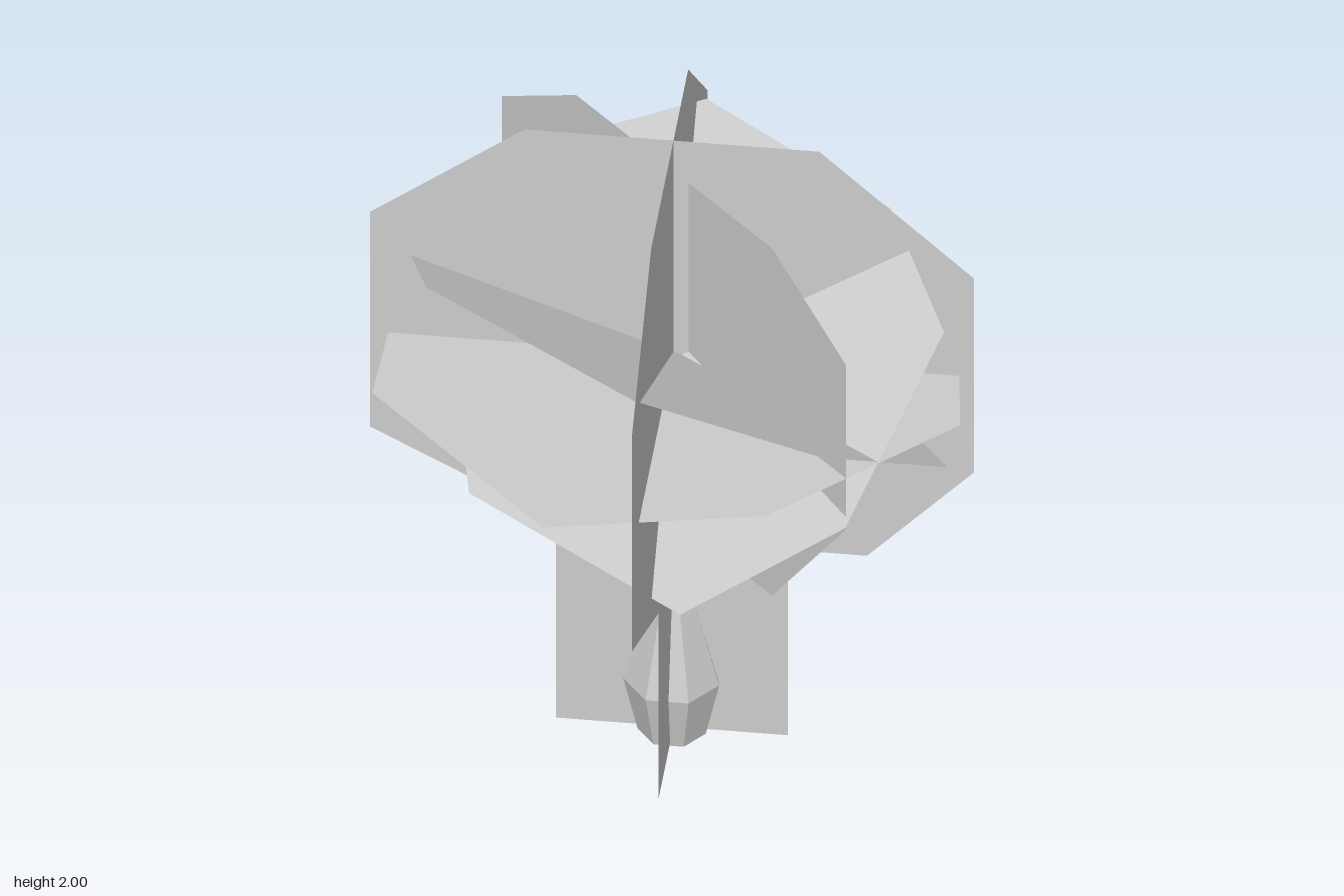
import * as THREE from 'three';

const flat = new THREE.MeshStandardMaterial({ color: 0xcccccc, flatShading: true, side: THREE.DoubleSide });
const AXIS_YAW = Math.atan2(0.57, 0.82);

// Flat card: 2D outline placed on the plane spanned by u and v through origin
function card(name, outline, origin, u, v) {
  const geo = new THREE.ShapeGeometry(new THREE.Shape(outline.map(([a, b]) => new THREE.Vector2(a, b))));
  const n = new THREE.Vector3().crossVectors(u, v).normalize();
  geo.applyMatrix4(new THREE.Matrix4().makeBasis(u, v, n).setPosition(origin));
  const mesh = new THREE.Mesh(geo, flat);
  mesh.name = name;
  return mesh;
}

// Tree outline with a trunk strip between two offsets
function treeOutline(stemLeft, stemRight, leftFoot) {
  return [
    [-0.4, 2], [0.4, 2], [0.82, 1.61], [0.82, 0.95], [0.53, 0.64], [stemRight, 0.64],
    [stemRight, 0.01], [stemLeft, 0.01], [stemLeft, leftFoot], [-0.82, 0.95], [-0.82, 1.68],
  ];
}

export function createModel() {
  const tree = new THREE.Group();
  tree.name = 'tree';
  const V = (x, y, z) => new THREE.Vector3(x, y, z);
  const up = V(0, 1, 0);

  // Seven-sided tapering trunk
  const profile = [[0, 0], [0.095, 0], [0.134, 0.175], [0.062, 0.43], [0.014, 1.29], [0, 1.29]];
  const trunk = new THREE.Mesh(
    new THREE.LatheGeometry(profile.map(([r, y]) => new THREE.Vector2(r, y)), 7).rotateY(Math.PI),
    flat
  );
  trunk.name = 'trunk';
  trunk.position.set(0, 0, -0.095);
  tree.add(trunk);

  // Two crossed full-height cards
  tree.add(card('frontCard', treeOutline(-0.315, 0.315, 0.68), V(0, 0, -0.082), V(1, 0, 0), up));
  tree.add(card('sideCard', treeOutline(-0.24, 0.39, 0.64), V(0.004, 0, 0), V(0, 0, -1), up));

  // Diagonal upright foliage card
  tree.add(card('diagonalFoliage', [
    [-0.43, 1.86], [0.43, 1.86], [0.755, 1.66], [0.755, 1.1],
    [0.43, 0.68], [-0.43, 0.68], [-0.755, 1.1], [-0.755, 1.66],
  ], V(0, 0, -0.127), V(Math.SQRT1_2, 0, Math.SQRT1_2), up));

  // Level foliage card, outline given as x and z
  tree.add(card('levelFoliage', [
    [-0.27, -0.79], [0.27, -0.76], [0.755, -0.28], [0.81, 0.135],
    [0.34, 0.6], [-0.25, 0.725], [-0.78, 0.19], [-0.765, -0.3],
  ], V(0, 1.275, 0), V(1, 0, 0), V(0, 0, 1)));

  // Two foliage cards tilted opposite ways about one level axis
  const along = V(Math.cos(AXIS_YAW), 0, Math.sin(AXIS_YAW));
  const across = V(Math.sin(AXIS_YAW), 0, -Math.cos(AXIS_YAW));
  const tilted = (name, degrees, outline) => {
    const t = THREE.MathUtils.degToRad(degrees);
    const v = across.clone().multiplyScalar(Math.cos(t)).addScaledVector(up, Math.sin(t));
    tree.add(card(name, outline, V(0, 1.275, -0.1), along, v));
  };
  tilted('steepFoliage', 49.5, [
    [0.753, 0.394], [0.428, 0.62], [-0.252, 0.64], [-0.668, 0.317],
    [-0.668, -0.24], [-0.386, -0.605], [0.388, -0.62], [0.741, -0.2],
  ]);
  tilted('shallowFoliage', -32.5, [
    [0.742, 0.336], [0.375, 0.57], [-0.3, 0.55], [-0.676, 0.263],
    [-0.676, -0.397], [-0.335, -0.737], [0.421, -0.74], [0.744, -0.27],
  ]);

  return tree;
}
